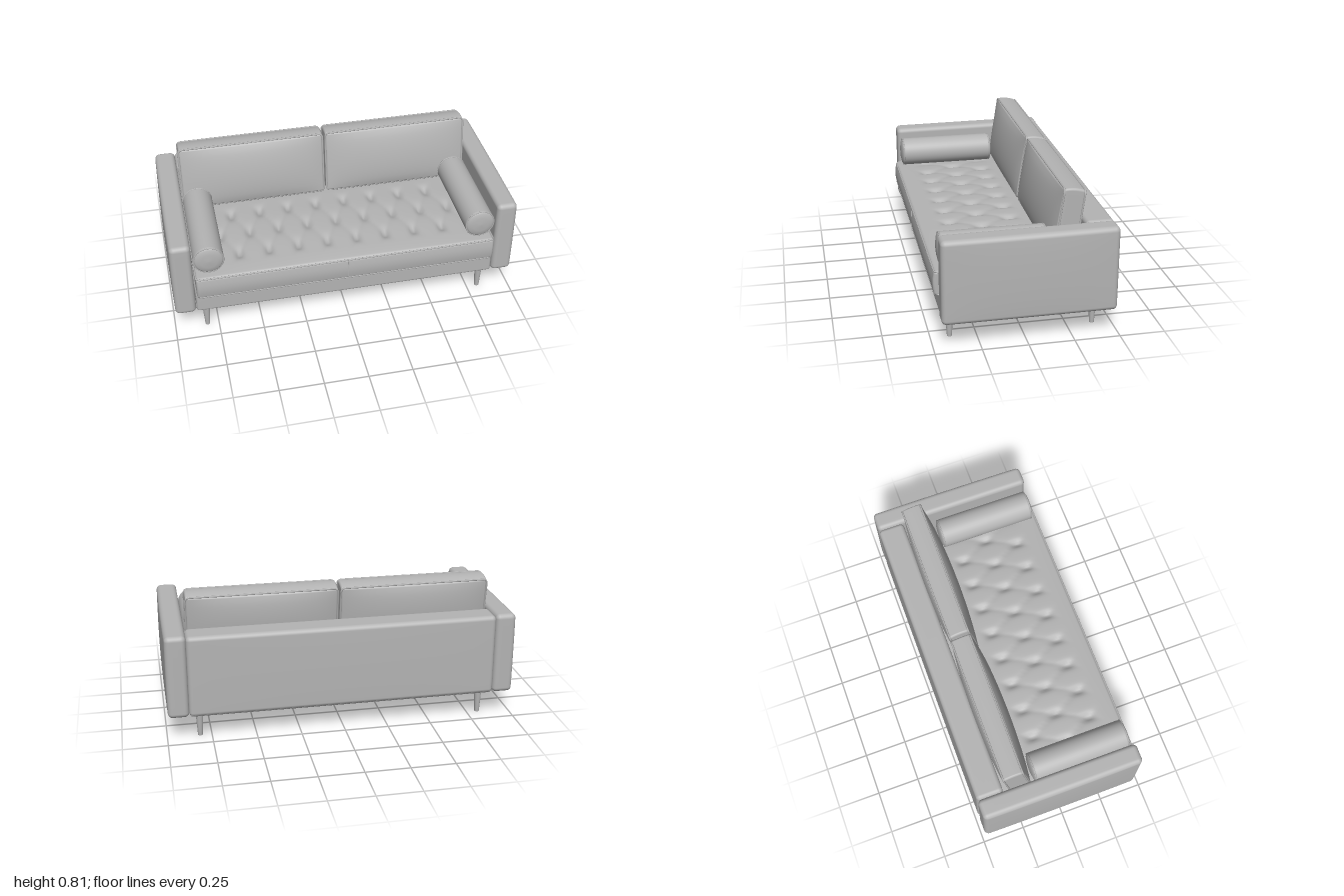
import * as THREE from 'three';
import { mergeVertices } from 'three/addons/utils/BufferGeometryUtils.js';

const fabric = new THREE.MeshStandardMaterial({ color: 0xb4b4b4 });
fabric.name = 'grey fabric';

const K = 4; // segments across each rounded edge

// Box with rounded edges and evenly divided faces; the rule may then move each vertex.
function softBox(size, radius, mid, rule) {
  const seg = mid.map((m) => m + 2 * K);
  let geo = new THREE.BoxGeometry(...size, ...seg);
  const pos = geo.attributes.position;
  const p = new THREE.Vector3(), inner = new THREE.Vector3();
  const half = new THREE.Vector3(...size).multiplyScalar(0.5);
  for (let i = 0; i < pos.count; i++) {
    p.fromBufferAttribute(pos, i);
    ['x', 'y', 'z'].forEach((a, j) => {
      // crowd the outer grid lines into the rounded edge
      const n = Math.round((p[a] / size[j] + 0.5) * seg[j]);
      const h = half[a], flat = h - radius;
      const edge = (k) => radius * Math.tan((k / K) * Math.PI / 4);
      if (n < K) p[a] = -flat - edge(K - n);
      else if (n > seg[j] - K) p[a] = flat + edge(n - seg[j] + K);
      else p[a] = -flat + (2 * flat * (n - K)) / mid[j];
      inner[a] = THREE.MathUtils.clamp(p[a], -flat, flat);
    });
    p.sub(inner).setLength(radius).add(inner);
    if (rule) rule(p, half);
    pos.setXYZ(i, p.x, p.y, p.z);
  }
  geo.deleteAttribute('normal');
  geo.deleteAttribute('uv');
  geo.clearGroups();
  geo = mergeVertices(geo, 1e-5);
  geo.computeVertexNormals();
  return geo;
}

// Closed piping around a rounded rectangle in the xy plane.
function piping(w, h, r, thick) {
  const pts = [];
  const corners = [[1, 1], [-1, 1], [-1, -1], [1, -1]];
  corners.forEach(([sx, sy], c) => {
    for (let k = 0; k <= 4; k++) {
      const a = (c + k / 4) * Math.PI / 2;
      pts.push(new THREE.Vector3(sx * (w / 2 - r) + r * Math.cos(a), sy * (h / 2 - r) + r * Math.sin(a), 0));
    }
  });
  const path = new THREE.CurvePath();
  pts.forEach((a, i) => path.add(new THREE.LineCurve3(a, pts[(i + 1) % pts.length])));
  return new THREE.TubeGeometry(path, 240, thick, 6, true);
}

// Dome value: 1 in the middle of a face, 0 at its edge
const dome = (u, v) => Math.pow(Math.max(0, (1 - u * u) * (1 - v * v)), 0.6);

// Depth of the button dimples and the folds that run diagonally between them
function tuft(x, z) {
  const dx = 0.17, dz = 0.175, z0 = 0.125;
  const u = x / dx, v = (z - z0) / dz;
  const fade = THREE.MathUtils.smoothstep(0.27 - Math.abs(z - z0), 0, 0.08)
    * THREE.MathUtils.smoothstep(0.8 - Math.abs(x), 0, 0.1);
  const a = u + v / 2, b = u - v / 2;
  const near = (t) => Math.abs(t - Math.round(t));
  const fold = Math.exp(-near(a) * 9) + Math.exp(-near(b) * 9);
  const button = Math.exp(-(near(a) ** 2 + near(b) ** 2) * 28);
  return fade * (0.005 * fold + 0.018 * button);
}

export function createModel() {
  const sofa = new THREE.Group();
  sofa.name = 'sofa';
  const add = (parent, name, geo, x = 0, y = 0, z = 0) => {
    const mesh = new THREE.Mesh(geo, fabric);
    mesh.name = name;
    mesh.position.set(x, y, z);
    parent.add(mesh);
    return mesh;
  };

  // Base with a slightly sagging underside
  add(sofa, 'base', softBox([1.74, 0.115, 0.93], 0.015, [16, 2, 12], (p, h) => {
    if (p.y < 0) p.y -= 0.009 * dome(p.x / h.x, p.z / h.z);
  }), 0, 0.207, -0.015);

  // Back frame
  add(sofa, 'backrest', softBox([1.75, 0.472, 0.155], 0.025, [16, 8, 4], (p, h) => {
    if (p.z < 0) p.z -= 0.004 * dome(p.x / h.x, p.y / h.y);
  }), 0, 0.386, -0.407);

  // Tufted seat cushion
  const seatZ = 0.072;
  add(sofa, 'seatCushion', softBox([1.726, 0.14, 0.806], 0.016, [130, 4, 60], (p, h) => {
    const u = p.x / h.x, v = p.y / h.y, w = p.z / h.z;
    if (p.z > 0) p.z += 0.01 * w ** 8 * (1 - v * v);
    if (p.y > 0) p.y += v * (0.022 * dome(u, w) - tuft(p.x, p.z + seatZ));
  }), 0, 0.335, seatZ);
  for (const y of [0.272, 0.4]) {
    add(sofa, 'seatPiping', piping(1.724, 0.806, 0.02, 0.005), 0, y, seatZ).rotation.x = Math.PI / 2;
  }
  add(sofa, 'seatSeam', new THREE.BoxGeometry(0.003, 0.125, 0.004), 0, 0.336, 0.484);

  for (const s of [-1, 1]) {
    // Arm, bulging a little outwards and rising towards the back
    add(sofa, 'arm', softBox([0.117, 0.474, 0.943], 0.027, [4, 10, 16], (p, h) => {
      const bulge = dome(p.y / h.y, p.z / h.z);
      if (p.x * s > 0) p.x += s * 0.009 * bulge;
      if (p.y > 0) p.y += 0.005 * (p.y / h.y) * (1 - p.z / h.z) / 2;
    }), s * 0.932, 0.386, -0.013);

    // Leaning back cushion with piped edges
    const cushion = new THREE.Group();
    cushion.name = 'backCushion';
    cushion.position.set(s * 0.434, 0.612, -0.242);
    cushion.rotation.x = -0.14;
    sofa.add(cushion);
    add(cushion, 'cushionBody', softBox([0.852, 0.38, 0.118], 0.012, [28, 16, 6], (p, h) => {
      const u = p.x / h.x, v = p.y / h.y, w = p.z / h.z;
      p.z += Math.sign(p.z) * Math.abs(w) * 0.036 * dome(u, v);
      if (p.y > 0) p.y += 0.008 * v ** 6 * (1 - w * w);
      p.z *= 1 - 0.04 * v;
    }));
    for (const z of [-0.056, 0.056]) {
      add(cushion, 'cushionPiping', piping(0.852, 0.38, 0.022, 0.005), 0, 0, z);
    }

    // Bolster with softly domed ends
    const L = 0.295, R = 0.086;
    const profile = [[0, -L - 0.002], [0.045, -L], [0.072, -L + 0.006], [0.082, -L + 0.013], [R, -L + 0.024],
      [R, 0], [R, L - 0.024], [0.082, L - 0.013], [0.072, L - 0.006], [0.045, L], [0, L + 0.002]];
    const bolster = new THREE.Group();
    bolster.name = 'bolster';
    bolster.position.set(s * 0.78, 0.503, 0.155);
    sofa.add(bolster);
    add(bolster, 'bolsterBody', new THREE.LatheGeometry(profile.map(([x, y]) => new THREE.Vector2(x, y)), 40))
      .rotation.x = Math.PI / 2;
    for (const e of [-1, 1]) {
      add(bolster, 'bolsterPiping', new THREE.TorusGeometry(0.083, 0.004, 6, 40), 0, 0, e * (L - 0.014));
    }

    // Tapered legs
    for (const z of [-0.395, 0.395]) {
      add(sofa, 'leg', new THREE.CylinderGeometry(0.023, 0.0135, 0.16, 24), s * 0.815, 0.08, z);
    }
  }
  return sofa;
}
